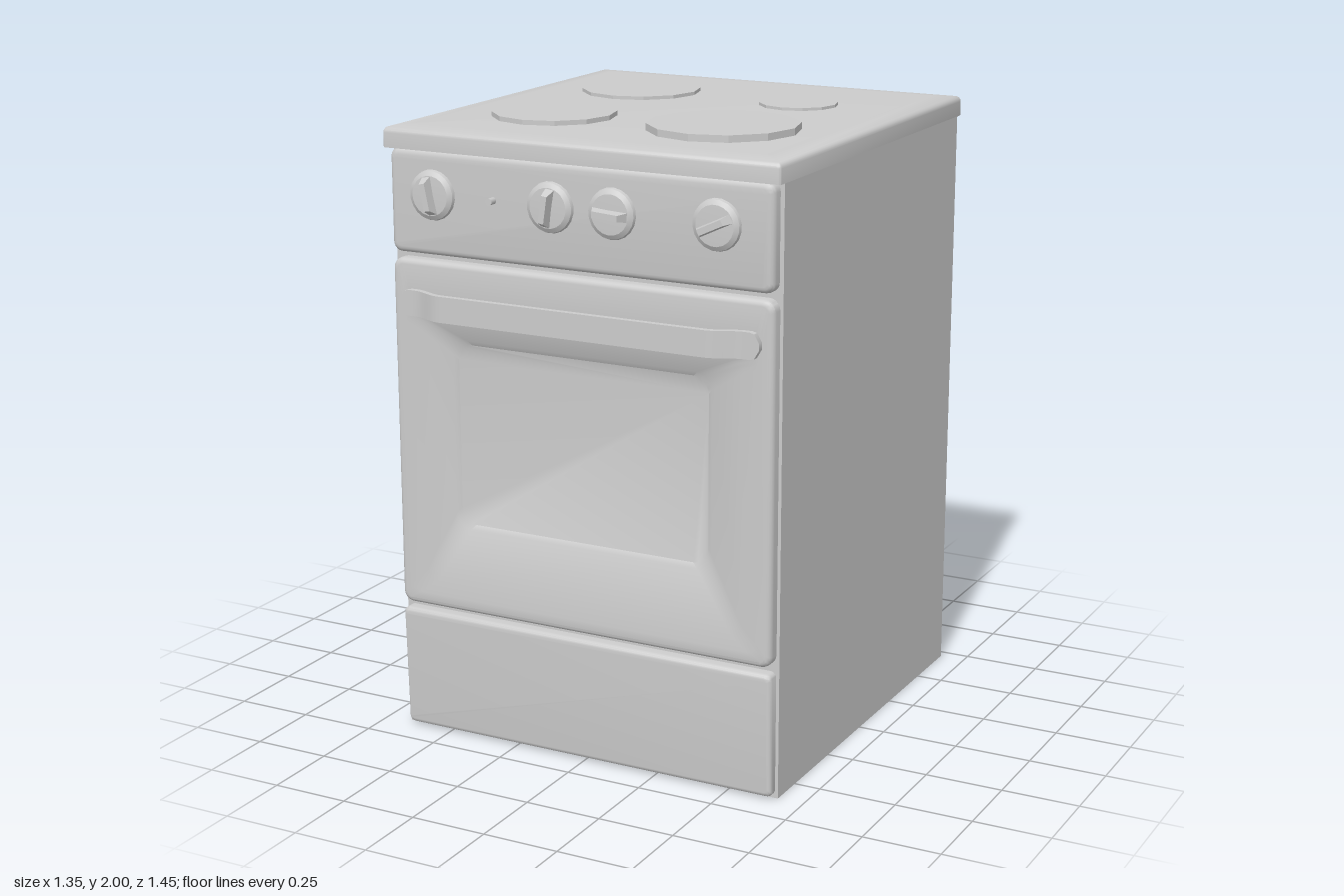
import * as THREE from 'three';
import { toCreasedNormals } from 'three/addons/utils/BufferGeometryUtils.js';

const material = new THREE.MeshStandardMaterial({ color: 0xcccccc });

function add(parent, name, geometry, x = 0, y = 0, z = 0) {
  const mesh = new THREE.Mesh(geometry, material);
  mesh.name = name;
  mesh.position.set(x, y, z);
  parent.add(mesh);
  return mesh;
}

// Closed skin through rounded rectangles: [x0, x1, y0, y1, cornerRadius, z]
function loft(rects, crease = 0.6) {
  const pos = [], index = [], steps = 5, n = 4 * (steps + 1);
  for (const [x0, x1, y0, y1, r, z] of rects) {
    const corners = [[x1 - r, y1 - r], [x0 + r, y1 - r], [x0 + r, y0 + r], [x1 - r, y0 + r]];
    corners.forEach(([cx, cy], c) => {
      for (let s = 0; s <= steps; s++) {
        const a = (c + s / steps) * Math.PI / 2;
        pos.push(cx + r * Math.cos(a), cy + r * Math.sin(a), z);
      }
    });
  }
  const last = rects.length - 1;
  for (let k = 0; k < last; k++) {
    for (let i = 0; i < n; i++) {
      const a = k * n + i, b = k * n + (i + 1) % n;
      index.push(a, b, b + n, a, b + n, a + n);
    }
  }
  // End caps
  for (let i = 1; i < n - 1; i++) {
    index.push(0, i + 1, i, last * n, last * n + i, last * n + i + 1);
  }
  const geometry = new THREE.BufferGeometry();
  geometry.setAttribute('position', new THREE.Float32BufferAttribute(pos, 3));
  geometry.setIndex(index);
  return toCreasedNormals(geometry, crease);
}

// Loops of a panel edge rounded over by radius e, from z0 up to z1
function roundedEdge(x0, x1, y0, y1, r, z0, z1, e) {
  const loops = [[x0, x1, y0, y1, r, z0]];
  for (let i = 0; i <= 4; i++) {
    const a = (i / 4) * Math.PI / 2, d = e * (1 - Math.cos(a));
    loops.push([x0 + d, x1 - d, y0 + d, y1 - d, r - d * 0.7, z1 - e + e * Math.sin(a)]);
  }
  return loops;
}

// Strap handle: rounded ends on the door, middle standing away from it
function handleGeometry() {
  const half = 0.617, g = new THREE.BoxGeometry(2 * half, 1, 0.02, 80, 1, 1);
  const p = g.attributes.position;
  for (let i = 0; i < p.count; i++) {
    const x = p.getX(i), fromEnd = half - Math.abs(x), r = 0.03;
    const t = Math.max(0, r - fromEnd);
    const h = 0.041 - r + Math.sqrt(Math.max(0, r * r - t * t));
    const out = 0.036 * THREE.MathUtils.smoothstep(fromEnd, 0.05, 0.16);
    p.setY(i, Math.sign(p.getY(i)) * h);
    p.setZ(i, p.getZ(i) + out);
  }
  return toCreasedNormals(g, 0.6);
}

// Knob: stepped dial with a tapering grip bar
function createKnob(x, angle) {
  const knob = new THREE.Group();
  knob.name = 'knob';
  const profile = [[0, 0], [0.07, 0], [0.079, 0.008], [0.076, 0.018], [0.062, 0.027], [0, 0.03]]
    .map(([r, h]) => new THREE.Vector2(r, h));
  const dial = toCreasedNormals(new THREE.LatheGeometry(profile, 20), 0.5);
  add(knob, 'knobDial', dial).rotation.x = Math.PI / 2;

  const grip = new THREE.BoxGeometry(0.032, 0.13, 0.045);
  const p = grip.attributes.position;
  for (let i = 0; i < p.count; i++) {
    if (p.getZ(i) > 0) p.setXY(i, p.getX(i) * 0.6, p.getY(i) * 0.65);
  }
  grip.computeVertexNormals();
  add(knob, 'knobGrip', grip, 0, 0, 0.0365);

  knob.position.set(x, 1.775, 0.665);
  knob.rotation.z = angle;
  return knob;
}

export function createModel() {
  const stove = new THREE.Group();
  stove.name = 'stove';

  // Cabinet
  add(stove, 'body', new THREE.BoxGeometry(1.33, 1.91, 1.335), 0, 0.955, -0.0445);

  // Cooktop slab, softened along its upper edge
  const top = roundedEdge(-0.675, 0.675, -0.698, 0.698, 0.012, 0, 0.064, 0.018);
  top.push([-0.6, 0.6, -0.62, 0.62, 0.01, 0.07]);
  add(stove, 'cooktop', loft(top), 0, 1.908, -0.025).rotation.x = -Math.PI / 2;

  // Hot plates: x, z, radius, upper surface
  const plates = [
    [-0.29, -0.29, 0.196, 1.989], [0.295, -0.265, 0.127, 1.987],
    [-0.29, 0.283, 0.196, 1.993], [0.295, 0.273, 0.237, 2],
  ];
  for (const [x, z, r, y] of plates) {
    add(stove, 'hotPlate', toCreasedNormals(new THREE.CylinderGeometry(r, r, 0.04, 12), 0.3), x, y - 0.02, z);
  }

  // Control panel with knobs and indicator lamp
  add(stove, 'controlPanel', loft(roundedEdge(-0.657, 0.652, 1.583, 1.91, 0.03, 0.615, 0.665, 0.02)));
  for (const [x, a] of [[-0.495, 0.2], [-0.08, -0.15], [0.13, 1.5], [0.475, -1.13]]) {
    stove.add(createKnob(x, a));
  }
  add(stove, 'indicatorLamp', new THREE.CylinderGeometry(0.011, 0.011, 0.04, 10), -0.285, 1.775, 0.672)
    .rotation.x = Math.PI / 2;

  // Oven door: rounded rim, sloping surround and sunken window
  const door = roundedEdge(-0.657, 0.655, 0.432, 1.565, 0.035, 0.615, 0.665, 0.018);
  door.push(
    [-0.61, 0.605, 0.475, 1.39, 0.03, 0.665],
    [-0.56, 0.555, 0.52, 1.375, 0.035, 0.66],
    [-0.455, 0.445, 0.705, 1.32, 0.05, 0.643],
    [-0.44, 0.43, 0.72, 1.305, 0.05, 0.634],
  );
  add(stove, 'ovenDoor', loft(door, 0.5));
  add(stove, 'doorHandle', handleGeometry(), 0, 1.43, 0.675);

  // Lower drawer, front leaning back slightly towards the floor
  const drawer = loft(roundedEdge(-0.657, 0.655, 0.008, 0.412, 0.02, 0.615, 0.665, 0.015));
  const p = drawer.attributes.position;
  for (let i = 0; i < p.count; i++) {
    if (p.getZ(i) > 0.62) p.setZ(i, p.getZ(i) - 0.014 * (1 - p.getY(i) / 0.412));
  }
  add(stove, 'drawer', drawer);

  return stove;
}
